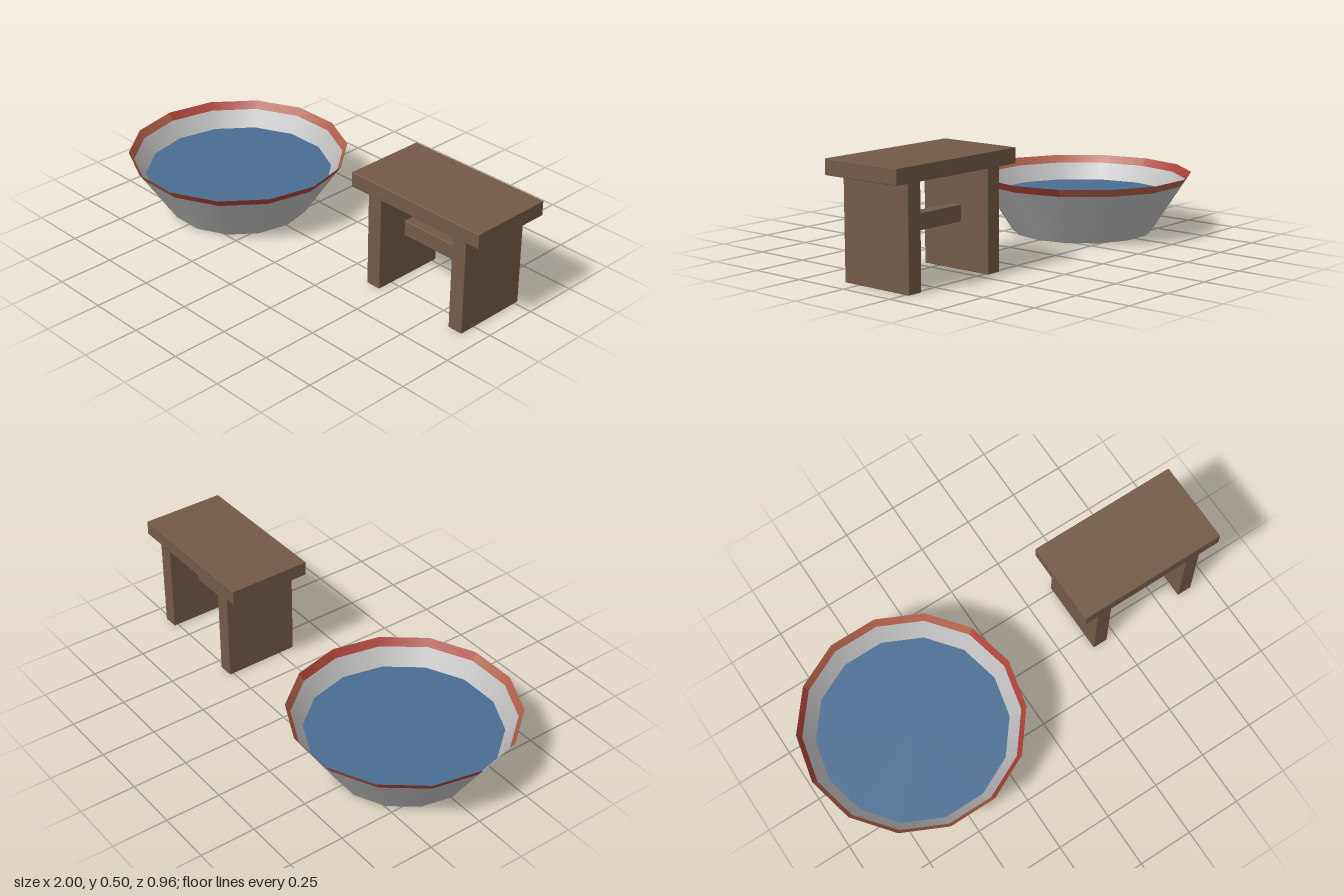
import * as THREE from 'three';
import { RoundedBoxGeometry } from 'three/addons/geometries/RoundedBoxGeometry.js';

const SIDES = 14;
const STEP = (Math.PI * 2) / SIDES;
const START = -Math.PI / 2; // puts a corner on the x axis

const material = (name, color, side = THREE.FrontSide) => {
  const m = new THREE.MeshStandardMaterial({ color, side });
  m.name = name;
  return m;
};

function addMesh(parent, name, geometry, mat, x = 0, y = 0, z = 0) {
  const mesh = new THREE.Mesh(geometry, mat);
  mesh.name = name;
  mesh.position.set(x, y, z);
  parent.add(mesh);
  return mesh;
}

// Open conical band covering `count` sides, starting at side `first`
function band(r0, y0, r1, y1, first = 0, count = SIDES) {
  const g = new THREE.CylinderGeometry(r1, r0, y1 - y0, count, 1, true, START + first * STEP, count * STEP);
  return g.translate(0, (y0 + y1) / 2, 0);
}

// Box given by its minimum and maximum corners, with lightly eased edges
function plank(parent, name, min, max, mat) {
  const size = max.map((v, i) => v - min[i]);
  const mid = max.map((v, i) => (v + min[i]) / 2);
  addMesh(parent, name, new RoundedBoxGeometry(...size, 1, 0.003), mat, ...mid);
}

export function createModel() {
  const model = new THREE.Group();
  model.name = 'basinAndStool';

  const enamel = material('greyEnamel', 0xbcbcbc, THREE.DoubleSide);
  const red = material('redRim', 0xaa4238, THREE.DoubleSide);
  const rust = material('rustRim', 0xb0604a, THREE.DoubleSide);
  const waterBlue = material('waterBlue', 0x4a6d92);
  const wood = material('brownWood', 0x745a46);

  // Basin: thin flared shell with a slightly eased foot
  const basin = new THREE.Group();
  basin.name = 'basin';
  basin.position.x = -0.51;
  model.add(basin);
  addMesh(basin, 'basinWall', band(0.319, 0.004, 0.468, 0.233), enamel);
  addMesh(basin, 'basinFoot', band(0.312, 0, 0.319, 0.004), enamel);
  const base = new THREE.CircleGeometry(0.312, SIDES).rotateX(Math.PI / 2);
  addMesh(basin, 'basinBase', base, enamel);

  // Rim strip, alternating in two reds
  const strips = [[0, 4, rust], [4, 4, red], [8, 4, rust], [12, 2, red]];
  for (const [first, count, mat] of strips) {
    addMesh(basin, 'rim', band(0.468, 0.233, 0.49, 0.267, first, count), mat);
  }

  // Water surface
  const water = new THREE.CircleGeometry(0.418, SIDES).rotateX(-Math.PI / 2);
  addMesh(basin, 'water', water, waterBlue, 0, 0.16, 0);

  // Stool: seat, two slab legs and a stretcher
  const stool = new THREE.Group();
  stool.name = 'stool';
  model.add(stool);
  plank(stool, 'seat', [0.305, 0.436, -0.287], [0.995, 0.502, 0.095], wood);
  for (const x of [0.385, 0.845]) {
    plank(stool, 'leg', [x, 0, -0.269], [x + 0.07, 0.436, 0.076], wood);
  }
  plank(stool, 'stretcher', [0.45, 0.2, -0.125], [0.85, 0.27, -0.07], wood);

  return model;
}
